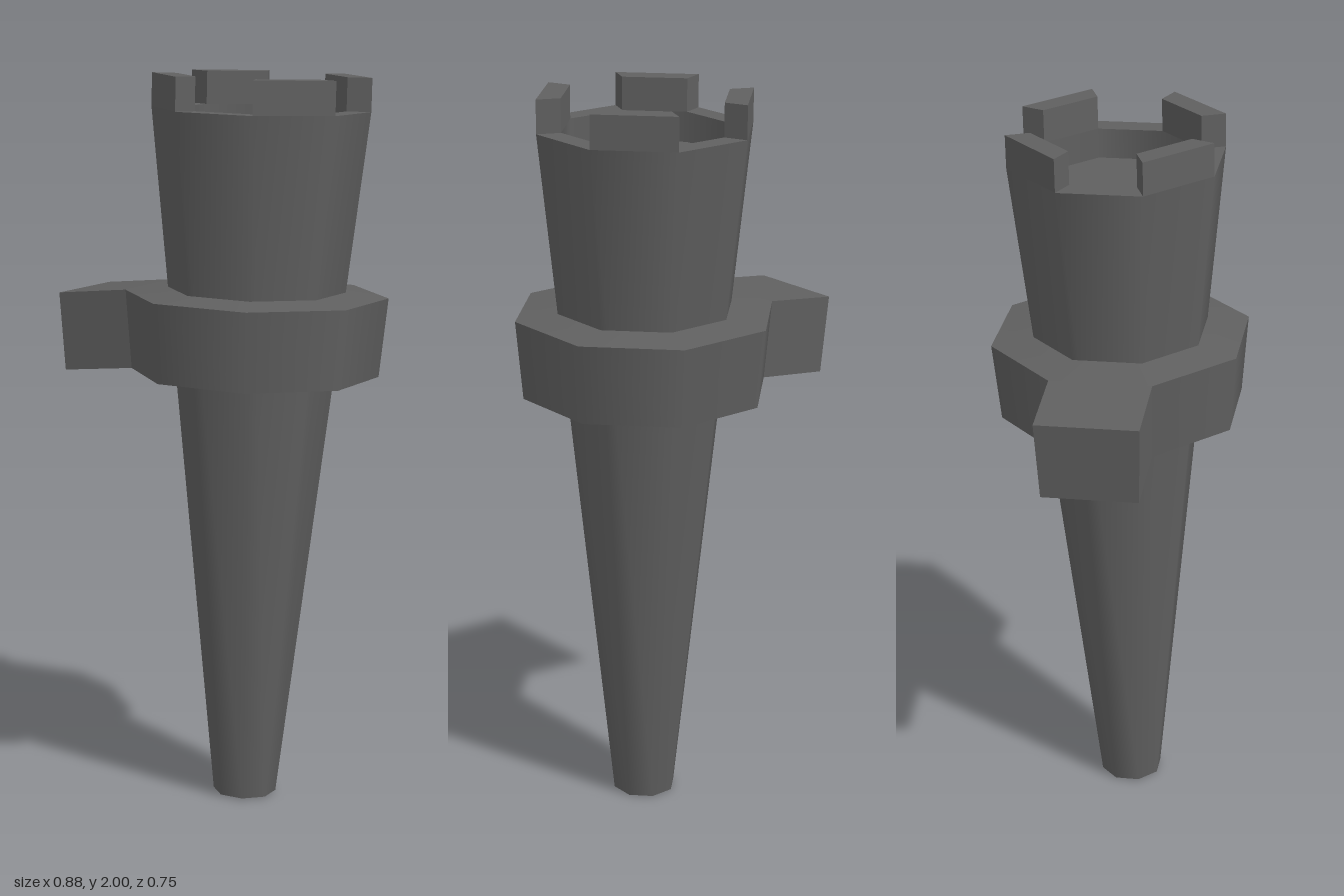
import * as THREE from 'three';
import { mergeGeometries } from 'three/addons/utils/BufferGeometryUtils.js';
import { ConvexGeometry } from 'three/addons/geometries/ConvexGeometry.js';

const SIDES = 8;
const START = THREE.MathUtils.degToRad(9.3); // turn of the octagon's first corner
const STEP = (Math.PI * 2) / SIDES;

// Corner i of the octagon, optionally pushed along a direction angle
function corner(i, r, y, push = 0, dir = 0) {
  const a = START + i * STEP;
  return new THREE.Vector3(
    r * Math.cos(a) + push * Math.cos(dir), y, r * Math.sin(a) + push * Math.sin(dir));
}

// Octagonal turning: smooth around the axis, sharp between profile points
function turned(profile) {
  const bands = [];
  for (let i = 0; i < profile.length - 1; i++) {
    const pair = [profile[i], profile[i + 1]].map(([r, y]) => new THREE.Vector2(r, y));
    bands.push(new THREE.LatheGeometry(pair, SIDES, Math.PI / 2 - START));
  }
  return mergeGeometries(bands);
}

export function createModel() {
  const material = new THREE.MeshStandardMaterial({ color: 0x606060 });
  const model = new THREE.Group();
  model.name = 'tower';
  const add = (name, geometry) => {
    const mesh = new THREE.Mesh(geometry, material);
    mesh.name = name;
    model.add(mesh);
  };

  // Tapered shaft with a shallow recess in its top
  const rimR = 0.294, innerR = 0.228, rimY = 1.902, topY = 1.992;
  add('shaft', turned([
    [0, 0.002], [0.087, 0.002], [rimR, rimY], [innerR, rimY], [innerR, 1.82], [0, 1.82],
  ]));

  // Flared collar around the shaft, its top rising slightly inward
  const low = { r: 0.337, y: 1.19 }, high = { r: 0.357, y: 1.405 };
  add('collar', turned([[0.2, low.y], [low.r, low.y], [high.r, high.y], [0.235, 1.418]]));

  // Block standing out from one collar side, drooping slightly
  const out = START + 4.5 * STEP;
  const blockPoints = [];
  for (const { r, y } of [low, high]) {
    for (const i of [4, 5]) {
      blockPoints.push(corner(i, r, y), corner(i, r, y - 0.025, 0.21, out));
    }
  }
  add('sideBlock', new ConvexGeometry(blockPoints));

  // Battlements on every other side of the rim
  for (let side = 1; side < SIDES; side += 2) {
    const points = [];
    for (const i of [side, side + 1]) {
      for (const r of [innerR, rimR]) points.push(corner(i, r, rimY), corner(i, r, topY));
    }
    add('battlement' + (side + 1) / 2, new ConvexGeometry(points));
  }

  // The whole tower leans a little
  model.position.set(0.058, 0, 0.042);
  model.quaternion.setFromUnitVectors(
    new THREE.Vector3(0, 1, 0), new THREE.Vector3(0.045, 2, -0.0275).normalize());
  return model;
}
